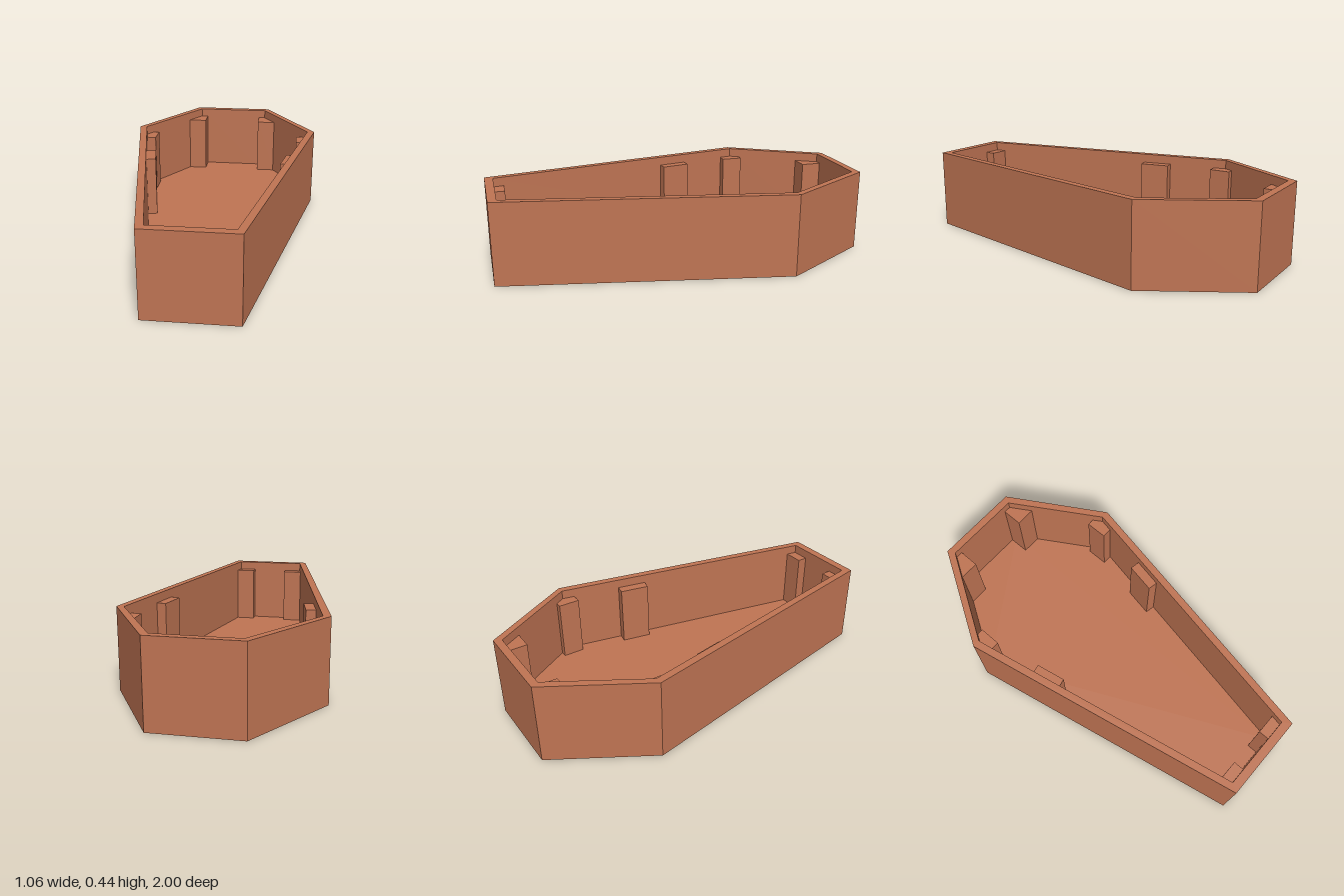
import * as THREE from 'three';

const HEIGHT = 0.44, FLOOR = 0.065, POST_TOP = 0.392;

// Six-sided outline in plan (x, z), from head corner to foot corner, mirrored
function hexagon(head, shoulder, foot) {
  const half = [head, shoulder, foot];
  return [...half, ...half.slice().reverse().map(([x, z]) => [-x, z])];
}

const toPoints = (plan) => plan.map(([x, z]) => new THREE.Vector2(x, z));

// Upright prism over a plan outline, from y = bottom to y = top
function prism(name, plan, bottom, top, material, hole) {
  const shape = new THREE.Shape(toPoints(plan));
  if (hole) shape.holes.push(new THREE.Path(toPoints(hole)));
  const geometry = new THREE.ExtrudeGeometry(shape, { depth: top - bottom, bevelEnabled: false });
  geometry.rotateX(Math.PI / 2).translate(0, top, 0);
  const mesh = new THREE.Mesh(geometry, material);
  mesh.name = name;
  return mesh;
}

export function createModel() {
  const group = new THREE.Group();
  group.name = 'openCoffin';
  const wood = new THREE.MeshStandardMaterial({ color: 0xbf7453 });
  wood.name = 'reddish wood';

  // Box: walls around a raised floor
  const outer = hexagon([0.23, -1], [0.53, -0.5], [0.23, 1]);
  const inner = hexagon([0.21, -0.96], [0.49, -0.5], [0.2, 0.955]);
  group.add(prism('walls', outer, 0, HEIGHT, wood, inner));
  group.add(prism('floor', inner, 0, FLOOR, wood));

  // Lid support posts along the inside of the walls, tucked slightly into them
  const posts = {
    headPost: [[0.172, -0.965], [0.172, -0.85], [0.28, -0.85], [0.21, -0.965]],
    shoulderPost: [[0.425, -0.55], [0.425, -0.435], [0.48, -0.435], [0.492, -0.5], [0.464, -0.55]],
    sidePost: [[0.375, -0.19], [0.345, -0.035], [0.4, -0.024], [0.431, -0.18]],
    footPost: [[0.103, 0.9], [0.103, 0.96], [0.203, 0.96], [0.215, 0.9]],
  };
  for (const [name, plan] of Object.entries(posts)) {
    for (const [side, s] of [['Left', 1], ['Right', -1]]) {
      group.add(prism(name + side, plan.map(([x, z]) => [s * x, z]), FLOOR, POST_TOP, wood));
    }
  }
  return group;
}
